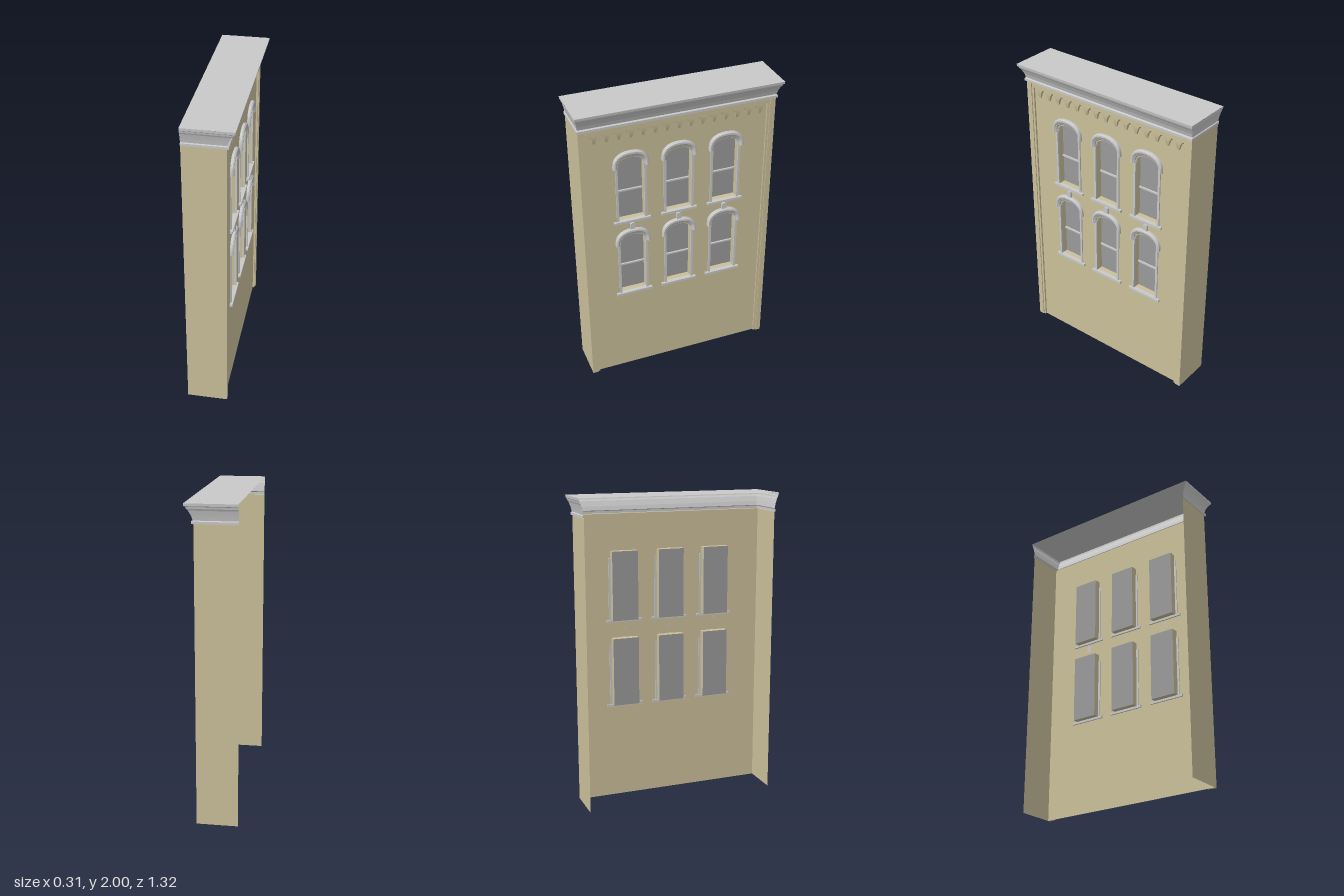
import * as THREE from 'three';
import { toCreasedNormals, mergeVertices } from 'three/addons/utils/BufferGeometryUtils.js';

const mat = (name, color) => new THREE.MeshStandardMaterial({ name, color, side: THREE.DoubleSide });

// Surface through rows of equally many [x, y, z] points
function loft(rows, closed = false, crease = 0.5) {
  const n = rows[0].length, idx = [];
  for (let r = 0; r < rows.length - 1; r++) {
    for (let c = 0; c < (closed ? n : n - 1); c++) {
      const a = r * n + c, b = r * n + (c + 1) % n;
      idx.push(a, b, b + n, a, b + n, a + n);
    }
  }
  const g = new THREE.BufferGeometry();
  g.setAttribute('position', new THREE.Float32BufferAttribute(rows.flat(2), 3));
  g.setIndex(idx);
  return toCreasedNormals(mergeVertices(g), crease);
}

// Round-headed outline: up the right leg, over the crown, down the left leg
function archPoints(halfWidth, bottom, spring, top, n = 14) {
  const pts = [[halfWidth, bottom]];
  for (let i = 0; i <= n; i++) {
    const a = Math.PI * i / n, c = Math.cos(a), s = Math.sin(a);
    pts.push([Math.sign(c) * halfWidth * Math.abs(c) ** 0.85, spring + (top - spring) * Math.max(s, 0) ** 0.85]);
  }
  pts.push([-halfWidth, bottom]);
  return pts;
}
const toVectors = pts => pts.map(p => new THREE.Vector2(p[0], p[1]));

export function createModel() {
  const stone = mat('stone', 0xcabf9a);
  const trim = mat('trim', 0xc8c8c8);
  const glass = mat('glass', 0x9a9a9a);

  const WALL = 0.085, FRONT = 0.103, BACK = -0.158, SIDE = 0.633, EAVE = 1.88;
  const model = new THREE.Group();
  model.name = 'buildingFacade';
  // Built facing +z, then turned so the facade faces +x
  const body = new THREE.Group();
  body.name = 'facadeBody';
  body.rotation.y = Math.PI / 2;
  model.add(body);

  const add = (name, geo, material, parent = body) => {
    const m = new THREE.Mesh(geo, material);
    m.name = name;
    parent.add(m);
    return m;
  };
  // Box given by its limits on each axis
  const block = (name, x0, x1, y0, y1, z0, z1, material, parent) => {
    const m = add(name, new THREE.BoxGeometry(x1 - x0, y1 - y0, z1 - z0), material, parent);
    m.position.set((x0 + x1) / 2, (y0 + y1) / 2, (z0 + z1) / 2);
    return m;
  };

  // Front wall with arched openings
  const columns = [-0.313, 0, 0.313], rows = [0.635, 1.2];
  const wall = new THREE.Shape(toVectors([[-SIDE, 0], [SIDE, 0], [SIDE, EAVE], [-SIDE, EAVE]]));
  for (const x of columns) for (const y of rows) {
    const pts = archPoints(0.085, y, y + 0.38, y + 0.445).map(p => [p[0] + x, p[1]]);
    wall.holes.push(new THREE.Path(toVectors(pts)));
  }
  add('frontWall', new THREE.ShapeGeometry(wall), stone).position.z = WALL;

  // Side walls and stepped corner pilasters
  for (const s of [-1, 1]) {
    const side = add('sideWall', new THREE.PlaneGeometry(FRONT - BACK, EAVE), stone);
    side.rotation.y = s * Math.PI / 2;
    side.position.set(s * SIDE, EAVE / 2, (FRONT + BACK) / 2);
    const span = (a, b) => s > 0 ? [a, b] : [-b, -a];
    block('cornerPilaster', ...span(0.597, SIDE), 0, EAVE, WALL, FRONT, stone);
    block('pilasterStep', ...span(0.582, 0.597), 0, EAVE, WALL, 0.097, stone);
  }

  // Frieze band and tapering corbels
  block('frieze', -0.582, 0.582, 1.842, EAVE, WALL, 0.1, stone);
  const corbelSections = [[0.037, 1.842, 0.1], [0.03, 1.828, 0.1], [0.019, 1.818, 0.099],
    [0.015, 1.803, 0.097], [0.008, 1.782, 0.091], [0, 1.781, WALL]];
  const corbelGeo = loft(corbelSections.map(([w, y, z]) =>
    [[-w, y, WALL], [-w * 0.8, y, z], [w * 0.8, y, z], [w, y, WALL]]), true, 0.3);
  for (let i = 0; i < 15; i++) add('corbel', corbelGeo, stone).position.x = (i - 7) * 0.0764;

  // Cornice moulding wrapped round three sides: [projection, height]
  const profile = [[-0.01, EAVE], [0.013, EAVE], [0.013, 1.895], [0.003, 1.9], [0.011, 1.925],
    [0.028, 1.958], [0.038, 1.968], [0.043, 1.98], [0.051, 1.984], [0.053, 2]];
  add('cornice', loft(profile.map(([d, y]) => {
    const x = SIDE + d * 0.53, z = FRONT + d;
    return [[-x, y, BACK], [-x, y, z], [x, y, z], [x, y, BACK]];
  }), false, 0.1), trim);
  const roof = add('roof', new THREE.PlaneGeometry(1.322, 0.314), trim);
  roof.rotation.x = -Math.PI / 2;
  roof.position.set(0, 2, -0.001);

  // Hood moulding: each ring is [half width, crown height, depth]
  const hoodRings = [[0.115, 0.495, WALL], [0.115, 0.495, 0.1], [0.109, 0.489, 0.108], [0.1, 0.477, 0.108],
    [0.095, 0.468, 0.1], [0.089, 0.456, 0.096], [0.086, 0.445, 0.082], [0.084, 0.443, 0.062]];
  const hoodGeo = loft(hoodRings.map(([w, top, z]) =>
    archPoints(w, 0.382, 0.4, top).map(p => [p[0], p[1], z])));
  const hoodEnd = new THREE.Shape(toVectors(hoodRings.slice(0, 6).map(r => [r[0], r[2]]).concat([[0.089, WALL]])));
  const hoodEndGeo = new THREE.ShapeGeometry(hoodEnd).rotateX(Math.PI / 2);
  const knobGeo = new THREE.ExtrudeGeometry(
    new THREE.Shape(toVectors(archPoints(0.016, 0.495, 0.525, 0.54, 8))), { depth: 0.015, bevelEnabled: false });

  // Window recess: open in front, glazed at the back
  const recessGeo = new THREE.BoxGeometry(0.172, 0.447, 0.045);
  recessGeo.clearGroups();
  [0, 1, 2, 3].forEach(f => recessGeo.addGroup(f * 6, 6, 0));
  recessGeo.addGroup(30, 6, 1);

  for (const y of rows) for (const x of columns) {
    const w = new THREE.Group();
    w.name = 'window';
    w.position.set(x, y, 0);
    body.add(w);
    add('recessAndPane', recessGeo, [stone, glass], w).position.set(0, 0.2225, WALL - 0.0225);
    block('sashBar', -0.085, 0.085, 0.19, 0.2, 0.041, 0.052, trim, w);
    block('sill', -0.121, 0.121, -0.016, 0, WALL - 0.01, FRONT, trim, w);
    add('hood', hoodGeo, trim, w);
    for (const s of [-1, 1]) {
      block('jamb', s * 0.0925 - 0.0075, s * 0.0925 + 0.0075, 0, 0.4, WALL - 0.005, 0.093, trim, w);
      const end = add('hoodEnd', hoodEndGeo, trim, w);
      end.scale.set(s, 1, 1);
      end.position.y = 0.382;
    }
    if (y === rows[0]) add('crownKnob', knobGeo, trim, w).position.z = WALL;
  }
  return model;
}
